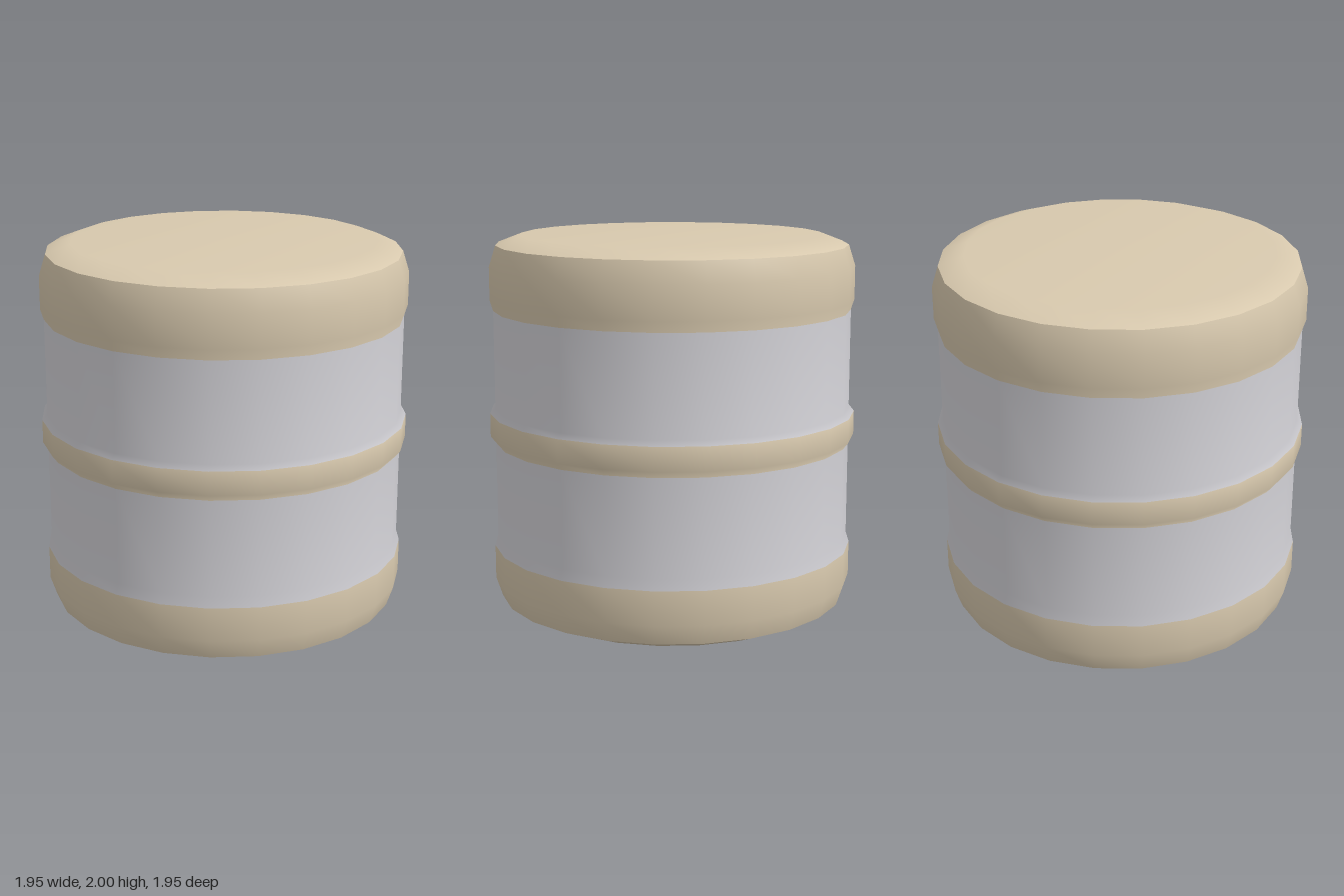
import * as THREE from 'three';

const SEGMENTS = 24;

function lathe(points) {
  return new THREE.LatheGeometry(points.map(([r, y]) => new THREE.Vector2(r, y)), SEGMENTS);
}

// Keeps only the rings from row "first" up to row "last", with the shared smooth normals
function rings(geometry, rows, first, last) {
  const part = geometry.clone();
  const source = geometry.index.array;
  const kept = [];
  for (let i = 0; i < SEGMENTS; i++) {
    for (let j = first; j < last; j++) {
      const start = (i * rows + j) * 6;
      for (let k = 0; k < 6; k++) kept.push(source[start + k]);
    }
  }
  part.setIndex(kept);
  return part;
}

export function createModel() {
  const group = new THREE.Group();
  const tan = new THREE.MeshStandardMaterial({ color: 0xd8c9ae });
  tan.name = 'tan';
  const grey = new THREE.MeshStandardMaterial({ color: 0xd6d5da });
  grey.name = 'pale grey';

  const add = (name, geometry, material) => {
    const mesh = new THREE.Mesh(geometry, material);
    mesh.name = name;
    group.add(mesh);
  };

  // Side wall profile, bottom to top
  const wall = [
    [0.93, 0.055], [0.965, 0.16], [0.965, 0.34],
    [0.948, 0.395], [0.948, 0.905],
    [0.976, 0.94], [0.976, 1.065],
    [0.948, 1.09], [0.948, 1.61],
    [0.965, 1.665], [0.965, 1.84], [0.93, 1.95],
  ];
  const side = lathe(wall);
  const rows = wall.length - 1;
  const parts = [
    ['bottomRim', 0, 2, tan],
    ['lowerShell', 2, 4, grey],
    ['middleBand', 4, 6, tan],
    ['upperShell', 6, 8, grey],
    ['topRim', 8, 11, tan],
  ];
  for (const [name, first, last, material] of parts) {
    add(name, rings(side, rows, first, last), material);
  }

  // Softly bevelled end caps, separated from the wall by a sharp edge
  add('topCap', lathe([[0.93, 1.95], [0.8, 2], [0, 2]]), tan);
  add('bottomCap', lathe([[0, 0], [0.8, 0], [0.93, 0.055]]), tan);

  return group;
}
